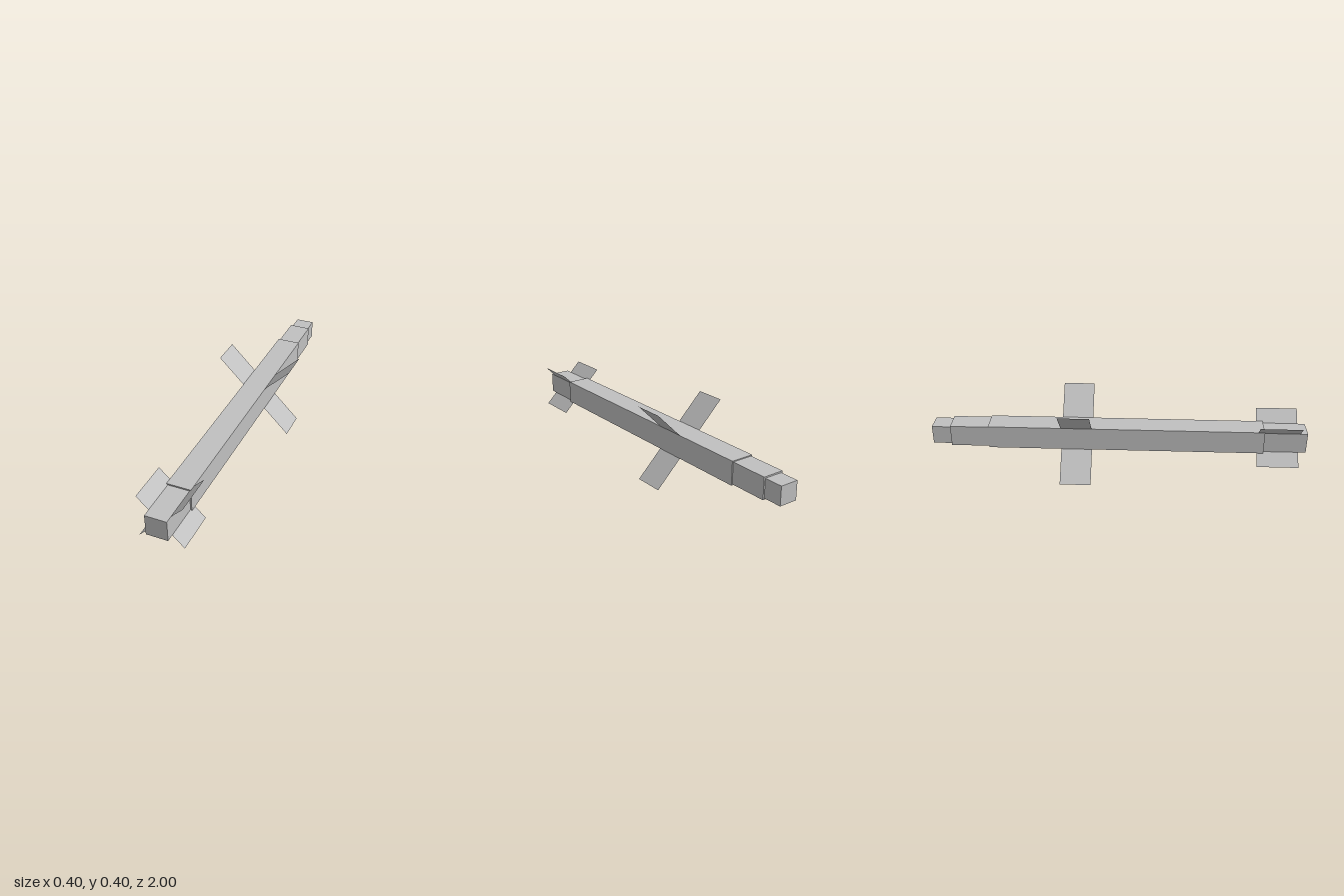
import * as THREE from 'three';

const AXIS_Y = 0.201; // height of the body's centre line

export function createModel() {
  const model = new THREE.Group();
  const grey = new THREE.MeshStandardMaterial({ color: 0xc0c0c0, side: THREE.DoubleSide });
  grey.name = 'light grey';

  // Square body sections: name, front z, back z, width
  const sections = [
    ['frontSection', 1, 0.775, 0.112],
    ['mainBody', 0.775, -0.695, 0.126],
    ['rearSection', -0.695, -0.9, 0.115],
    ['rearTip', -0.9, -1, 0.1],
  ];
  for (const [name, z0, z1, width] of sections) {
    const mesh = new THREE.Mesh(new THREE.BoxGeometry(width, width, z0 - z1), grey);
    mesh.name = name;
    mesh.position.set(0, AXIS_Y, (z0 + z1) / 2);
    model.add(mesh);
  }

  // Paper-thin fins crossing diagonally through the body
  const addFins = (name, z0, z1, reach) => {
    const fins = new THREE.Group();
    fins.name = name;
    fins.position.set(0, AXIS_Y, (z0 + z1) / 2);
    for (const side of [-1, 1]) {
      const geometry = new THREE.PlaneGeometry(2 * Math.SQRT2 * reach, z0 - z1);
      geometry.rotateX(-Math.PI / 2).rotateZ((side * Math.PI) / 4);
      const fin = new THREE.Mesh(geometry, grey);
      fin.name = side < 0 ? 'fallingFinPair' : 'risingFinPair';
      fins.add(fin);
    }
    model.add(fins);
  };
  addFins('frontFins', 0.96, 0.74, 0.116);
  addFins('midWings', -0.14, -0.305, 0.201);

  return model;
}
